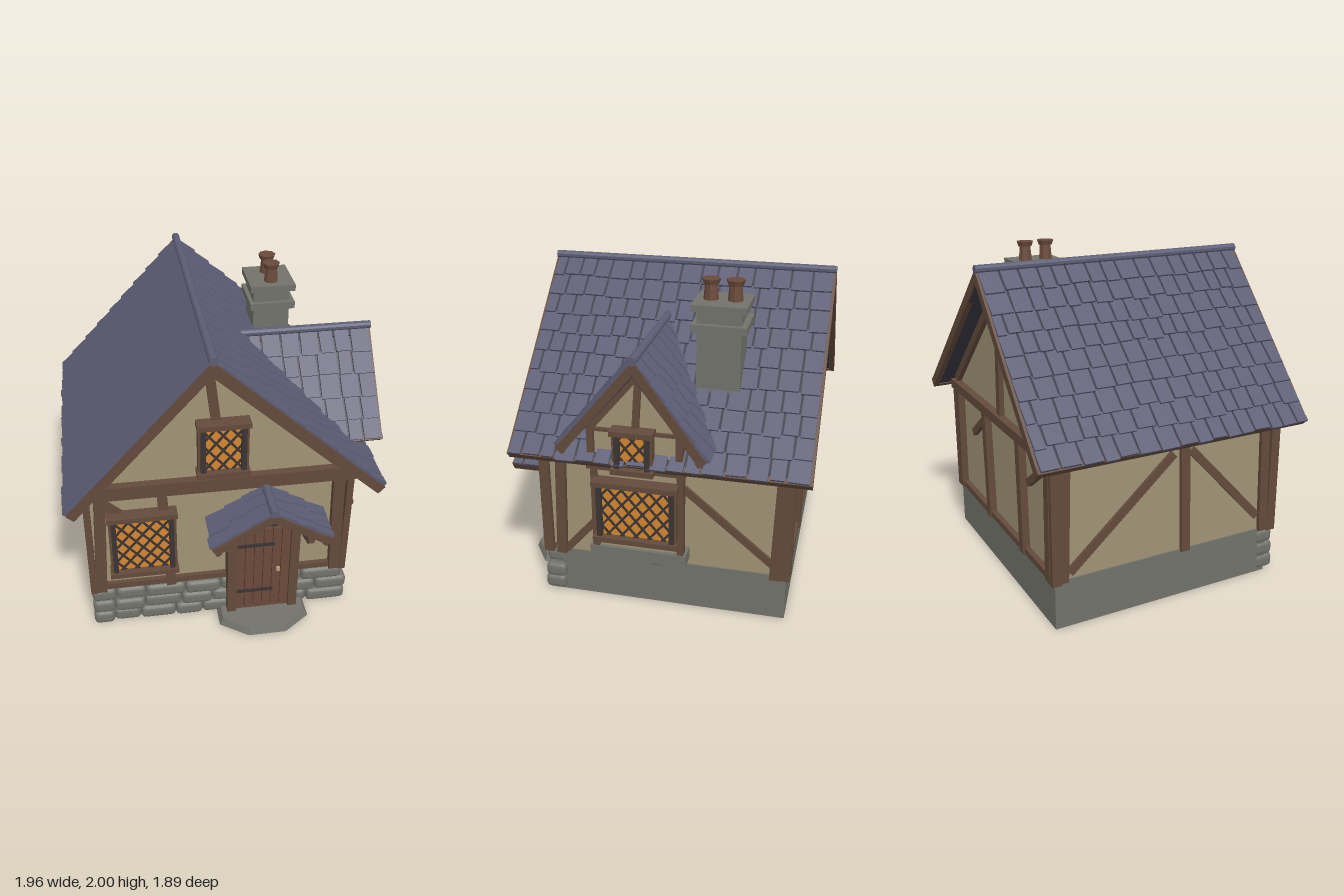
import * as THREE from 'three';
import { mergeGeometries } from 'three/addons/utils/BufferGeometryUtils.js';
import { RoundedBoxGeometry } from 'three/addons/geometries/RoundedBoxGeometry.js';

function material(name, color) {
  const m = new THREE.MeshStandardMaterial({ color, flatShading: true });
  m.name = name;
  return m;
}
const M = {
  plaster: material('plaster', 0xa09275),
  timber: material('timber', 0x634a3b),
  door: material('doorWood', 0x6a4a3b),
  iron: material('darkIron', 0x3b3533),
  slate: material('slate', 0x5c5c74),
  underlay: material('slateUnderlay', 0x383743),
  stone: material('stone', 0x72726b),
  glass: material('amberGlass', 0xd4862f),
  brass: material('paleBrass', 0xb09a78),
};

let seed = 7;
const rand = (a, b) => {
  seed = (seed * 16807) % 2147483647;
  return a + (b - a) * (seed / 2147483647);
};

function add(g, name, geo, mat, x = 0, y = 0, z = 0) {
  const m = new THREE.Mesh(geo, mat);
  m.name = name;
  m.position.set(x, y, z);
  g.add(m);
  return m;
}
// box given by its limits
function box(g, name, x0, x1, y0, y1, z0, z1, mat) {
  return add(g, name, new THREE.BoxGeometry(x1 - x0, y1 - y0, z1 - z0), mat, (x0 + x1) / 2, (y0 + y1) / 2, (z0 + z1) / 2);
}
// beam between two points in the XY plane, w wide, d deep, centred at z
function beam(g, name, x0, y0, x1, y1, w, d, z, mat = M.timber) {
  const m = add(g, name, new THREE.BoxGeometry(Math.hypot(x1 - x0, y1 - y0), w, d), mat, (x0 + x1) / 2, (y0 + y1) / 2, z);
  m.rotation.z = Math.atan2(y1 - y0, x1 - x0);
  return m;
}
function prism(g, name, pts, z0, z1, mat) {
  const shape = new THREE.Shape(pts.map(p => new THREE.Vector2(...p)));
  add(g, name, new THREE.ExtrudeGeometry(shape, { depth: z1 - z0, bevelEnabled: false }), mat, 0, 0, z0);
}
function side(root, name, angle) {
  const g = new THREE.Group();
  g.name = name;
  g.rotation.y = angle;
  root.add(g);
  return g;
}

// leaded window facing local +z; w and h are the glass size
function leadedWindow(parent, name, x, y, z, w, h) {
  const g = new THREE.Group();
  g.name = name;
  g.position.set(x, y, z);
  parent.add(g);
  box(g, 'glass', -w / 2, w / 2, -h / 2, h / 2, 0.02, 0.028, M.glass);
  box(g, 'backing', -w / 2, w / 2, -h / 2, h / 2, -0.02, 0.019, M.iron);
  const s = 1.2, c0 = h / 2 + s * w / 2;
  for (let c = -c0 + 0.06; c < c0; c += 0.1) {
    const a = Math.max(-w / 2, (-h / 2 - c) / s), b = Math.min(w / 2, (h / 2 - c) / s);
    for (const k of [-1, 1]) beam(g, 'leadBar', k * a, s * a + c, k * b, s * b + c, 0.013, 0.008, 0.031, M.iron);
  }
  for (const k of [-1, 1]) {
    add(g, 'jamb', new THREE.BoxGeometry(0.03, h, 0.07), M.iron, k * (w / 2 + 0.013), 0, 0.025);
    add(g, 'outerJamb', new THREE.BoxGeometry(0.018, h, 0.05), M.timber, k * (w / 2 + 0.034), 0, 0.02);
    add(g, k > 0 ? 'header' : 'windowSill', new THREE.BoxGeometry(w + 0.1, 0.032, 0.09), M.timber, 0, k * (h / 2 + 0.014), 0.03);
  }
}

// one slope: local +x runs down from the ridge, +y is the outward normal
function slope(parent, name, ridge, eave, z0, z1) {
  const dx = Math.abs(eave[0] - ridge[0]), dy = ridge[1] - eave[1];
  const L = Math.hypot(dx, dy), D = z1 - z0;
  const turn = new THREE.Group(), g = new THREE.Group();
  turn.name = name;
  turn.position.set(ridge[0], ridge[1], (z0 + z1) / 2);
  turn.rotation.y = eave[0] < ridge[0] ? Math.PI : 0;
  g.rotation.z = -Math.atan2(dy, dx);
  turn.add(g);
  parent.add(turn);
  box(g, 'roofDeck', 0, L, -0.045, 0, -D / 2 + 0.01, D / 2 - 0.01, M.underlay);
  // overlapping slates, each a little crooked
  const rows = Math.max(3, Math.round(L / 0.135)), pitch = L / rows, tiles = [];
  for (let r = 0; r < rows; r++) {
    let z = -D / 2 + 0.008;
    const end = D / 2 - 0.008;
    while (z < end - 0.01) {
      let w = rand(0.085, 0.135);
      if (end - z - w < 0.06) w = end - z;
      const len = pitch + rand(0.0, 0.022);
      const t = new THREE.BoxGeometry(len, 0.017, w - 0.014);
      t.rotateY(rand(-0.025, 0.025));
      t.rotateZ(0.09);
      t.translate(r * pitch + len / 2, 0.012, z + w / 2);
      tiles.push(t);
      z += w;
    }
  }
  add(g, 'slates', mergeGeometries(tiles), M.slate);
  box(g, 'eaveBoard', L - 0.025, L + 0.008, -0.05, 0.008, -D / 2, D / 2, M.timber);
}
function gableRoof(parent, name, ridge, left, right, z0, z1, board, ends) {
  const g = new THREE.Group();
  g.name = name;
  parent.add(g);
  for (const e of [left, right]) {
    slope(g, e === left ? 'leftSlope' : 'rightSlope', ridge, e, z0, z1);
    const n = new THREE.Vector2(e[1] - ridge[1], ridge[0] - e[0]).normalize().multiplyScalar(board / 2 - 0.004);
    if (n.y > 0) n.negate();
    for (const z of ends) beam(g, 'bargeBoard', ridge[0] + n.x * 0.3, ridge[1] + n.y, e[0] + n.x, e[1] + n.y, board, 0.035, z);
  }
  const cap = add(g, 'ridgeCap', new THREE.CylinderGeometry(0.025, 0.025, z1 - z0, 10), M.slate, ridge[0], ridge[1] + 0.02, (z0 + z1) / 2);
  cap.rotation.x = Math.PI / 2;
}

export function createModel() {
  const root = new THREE.Group();
  root.name = 'cottage';

  // foundation and walls
  box(root, 'foundation', -0.87, 0.72, 0, 0.3, -0.82, 0.63, M.stone);
  prism(root, 'walls', [[-0.86, 0.28], [0.71, 0.28], [0.71, 1.07], [-0.135, 1.85], [-0.86, 1.04]], -0.8, 0.64, M.plaster);

  // rounded stones along the front
  for (let r = 0; r < 3; r++) {
    let x = -0.88;
    while (x < 0.7) {
      let w = rand(0.13, 0.26);
      if (0.74 - x - w < 0.12) w = 0.74 - x + rand(-0.02, 0.03);
      add(root, 'frontStone', new RoundedBoxGeometry(w, 0.094, 0.13, 2, 0.03), M.stone, x + w / 2, 0.06 + r * 0.09, 0.62 + rand(-0.008, 0.012));
      x += w;
    }
  }

  // main roof
  gableRoof(root, 'mainRoof', [-0.135, 1.925], [-0.965, 1.02], [0.875, 1.02], -0.945, 0.82, 0.055, [0.803, -0.928]);

  // front timber frame
  const front = side(root, 'frontFrame', 0);
  box(front, 'tieBeam', -0.84, 0.75, 1.0, 1.09, 0.62, 0.69, M.timber);
  box(front, 'sillBeam', -0.86, 0.72, 0.29, 0.33, 0.62, 0.67, M.timber);
  beam(front, 'cornerPost', -0.82, 0.28, -0.785, 1.0, 0.07, 0.05, 0.66);
  beam(front, 'wallPost', -0.38, 0.28, -0.42, 1.0, 0.06, 0.05, 0.655);
  beam(front, 'cornerPost', 0.67, 0.28, 0.65, 1.0, 0.07, 0.05, 0.66);
  beam(front, 'brace', -0.78, 0.97, -0.62, 0.82, 0.05, 0.04, 0.65);
  beam(front, 'gableRafter', -0.80, 1.08, -0.135, 1.82, 0.05, 0.05, 0.655);
  beam(front, 'gableRafter', 0.70, 1.06, -0.135, 1.82, 0.05, 0.05, 0.655);
  beam(front, 'kingPost', -0.14, 1.83, -0.05, 1.08, 0.055, 0.04, 0.65);
  leadedWindow(front, 'gableWindow', -0.06, 1.31, 0.66, 0.21, 0.3);
  leadedWindow(front, 'frontWindow', -0.545, 0.66, 0.66, 0.32, 0.4);
  for (const [x, z] of [[-0.865, 0.66], [0.72, 0.66], [-0.865, -0.81], [0.72, -0.81]])
    box(root, 'cornerStud', x - 0.02, x + 0.02, 0.28, 1.04, z - 0.03, z + 0.03, M.timber);

  // door, frame and step
  for (const x of [-0.005, 0.39]) box(front, 'doorJamb', x - 0.028, x + 0.028, 0.04, 0.77, 0.62, 0.74, M.timber);
  box(front, 'doorBacking', 0.02, 0.365, 0.04, 0.725, 0.62, 0.7, M.iron);
  for (let i = 0; i < 6; i++) box(front, 'doorPlank', 0.024 + i * 0.057, 0.076 + i * 0.057, 0.05, 0.7, 0.7, 0.72, M.door);
  for (const y of [0.205, 0.58]) box(front, 'hinge', 0.022, 0.26, y - 0.011, y + 0.011, 0.72, 0.729, M.iron);
  box(front, 'doorKnob', 0.277, 0.3, 0.36, 0.385, 0.72, 0.74, M.brass);
  const step = add(front, 'doorStep', new THREE.CylinderGeometry(0.285, 0.31, 0.042, 8), M.stone, 0.195, 0.029, 0.72);
  step.geometry.rotateY(Math.PI / 8);
  step.scale.z = 0.7;

  // porch hood
  gableRoof(front, 'porchRoof', [0.2, 0.975], [-0.15, 0.765], [0.545, 0.765], 0.64, 0.945, 0.045, [0.927]);
  beam(front, 'porchPost', 0.14, 0.73, 0.135, 0.94, 0.05, 0.04, 0.66);
  for (const x of [-0.05, 0.435]) {
    box(front, 'bracketBlock', x - 0.02, x + 0.02, 0.64, 0.77, 0.63, 0.69, M.timber);
    box(front, 'porchPlate', x - 0.02, x + 0.02, 0.735, 0.77, 0.64, 0.92, M.timber);
    const b = add(front, 'porchBracket', new THREE.BoxGeometry(0.035, 0.03, 0.23), M.timber, x, 0.69, 0.79);
    b.rotation.x = -0.33;
  }

  // right wall: local x = -z, local z = x
  const right = side(root, 'rightFrame', Math.PI / 2);
  box(right, 'wallPlate', -0.66, 0.82, 0.96, 1.01, 0.69, 0.75, M.timber);
  beam(right, 'wallPost', -0.575, 0.28, -0.55, 1.0, 0.06, 0.05, 0.72);
  beam(right, 'wallPost', 0.75, 0.28, 0.775, 1.0, 0.06, 0.05, 0.72);
  beam(right, 'brace', -0.55, 0.3, -0.3, 0.59, 0.045, 0.04, 0.71);
  beam(right, 'brace', 0.2, 0.82, 0.75, 0.36, 0.045, 0.04, 0.71);
  beam(right, 'shortPost', 0.03, 0.28, 0.03, 0.36, 0.065, 0.04, 0.72);

  // bay with window
  box(right, 'bayWall', -0.33, 0.2, 0.4, 0.99, 0.65, 0.795, M.plaster);
  box(right, 'baySill', -0.36, 0.23, 0.34, 0.42, 0.66, 0.82, M.stone);
  box(right, 'bayHeader', -0.36, 0.23, 0.945, 0.99, 0.69, 0.825, M.timber);
  for (const x of [-0.32, 0.195]) box(right, 'bayPost', x - 0.02, x + 0.02, 0.42, 0.95, 0.76, 0.815, M.timber);
  leadedWindow(right, 'bayWindow', -0.063, 0.692, 0.81, 0.41, 0.34);

  // dormer
  prism(right, 'dormerWall', [[-0.33, 1.0], [0.21, 1.0], [0.21, 1.22], [-0.03, 1.56], [-0.33, 1.22]], 0.4, 0.83, M.plaster);
  gableRoof(right, 'dormerRoof', [-0.03, 1.665], [-0.48, 1.135], [0.365, 1.135], 0.14, 0.965, 0.05, [0.945]);
  for (const x of [-0.32, 0.2]) box(right, 'dormerPost', x - 0.02, x + 0.02, 1.02, 1.23, 0.8, 0.855, M.timber);
  box(right, 'dormerTie', -0.34, 0.22, 1.205, 1.225, 0.81, 0.85, M.timber);
  beam(right, 'dormerRafter', -0.33, 1.21, -0.03, 1.57, 0.04, 0.04, 0.835);
  beam(right, 'dormerRafter', 0.21, 1.21, -0.03, 1.57, 0.04, 0.04, 0.835);
  beam(right, 'dormerKingPost', -0.055, 1.22, -0.03, 1.57, 0.04, 0.03, 0.835);
  leadedWindow(right, 'dormerWindow', -0.063, 1.11, 0.845, 0.15, 0.21);

  // back wall: local x = -x, local z = -z
  const back = side(root, 'backFrame', Math.PI);
  box(back, 'tieBeam', -0.75, 0.88, 0.99, 1.05, 0.78, 0.85, M.timber);
  box(back, 'sillBeam', -0.72, 0.87, 0.29, 0.33, 0.78, 0.835, M.timber);
  for (const [a, b] of [[-0.67, -0.65], [-0.11, -0.14], [0.44, 0.42], [0.82, 0.83]]) beam(back, 'wallPost', a, 0.29, b, 1.0, 0.06, 0.05, 0.82);
  for (const x of [-0.4, 0.52]) beam(back, 'brace', x, 0.77, x + 0.22, 0.93, 0.045, 0.04, 0.81);
  beam(back, 'kingPost', 0.1, 1.03, 0.135, 1.83, 0.055, 0.04, 0.81);
  beam(back, 'gableRafter', -0.70, 1.06, 0.135, 1.82, 0.05, 0.04, 0.81);
  beam(back, 'gableRafter', 0.80, 1.08, 0.135, 1.82, 0.05, 0.04, 0.81);

  // left wall: local x = z, local z = -x
  const left = side(root, 'leftFrame', -Math.PI / 2);
  box(left, 'wallPlate', -0.82, 0.66, 0.96, 1.01, 0.84, 0.89, M.timber);
  for (const [a, b] of [[-0.77, -0.75], [0.03, 0.01], [0.6, 0.58]]) beam(left, 'wallPost', a, 0.29, b, 1.0, 0.06, 0.04, 0.865);
  beam(left, 'brace', -0.73, 0.34, -0.06, 0.93, 0.05, 0.04, 0.86);
  beam(left, 'brace', 0.06, 0.93, 0.55, 0.4, 0.05, 0.04, 0.86);

  // chimney
  box(root, 'chimneyStack', 0.275, 0.505, 1.3, 1.85, -0.475, -0.22, M.stone);
  box(root, 'chimneyBand', 0.25, 0.535, 1.72, 1.765, -0.51, -0.19, M.stone);
  box(root, 'chimneyCap', 0.25, 0.535, 1.84, 1.88, -0.51, -0.19, M.stone);
  for (const z of [-0.28, -0.42]) {
    add(root, 'chimneyPot', new THREE.CylinderGeometry(0.036, 0.045, 0.1, 8), M.door, 0.393, 1.925, z);
    add(root, 'chimneyPotRim', new THREE.CylinderGeometry(0.055, 0.045, 0.03, 8), M.door, 0.393, 1.985, z);
  }
  return root;
}
